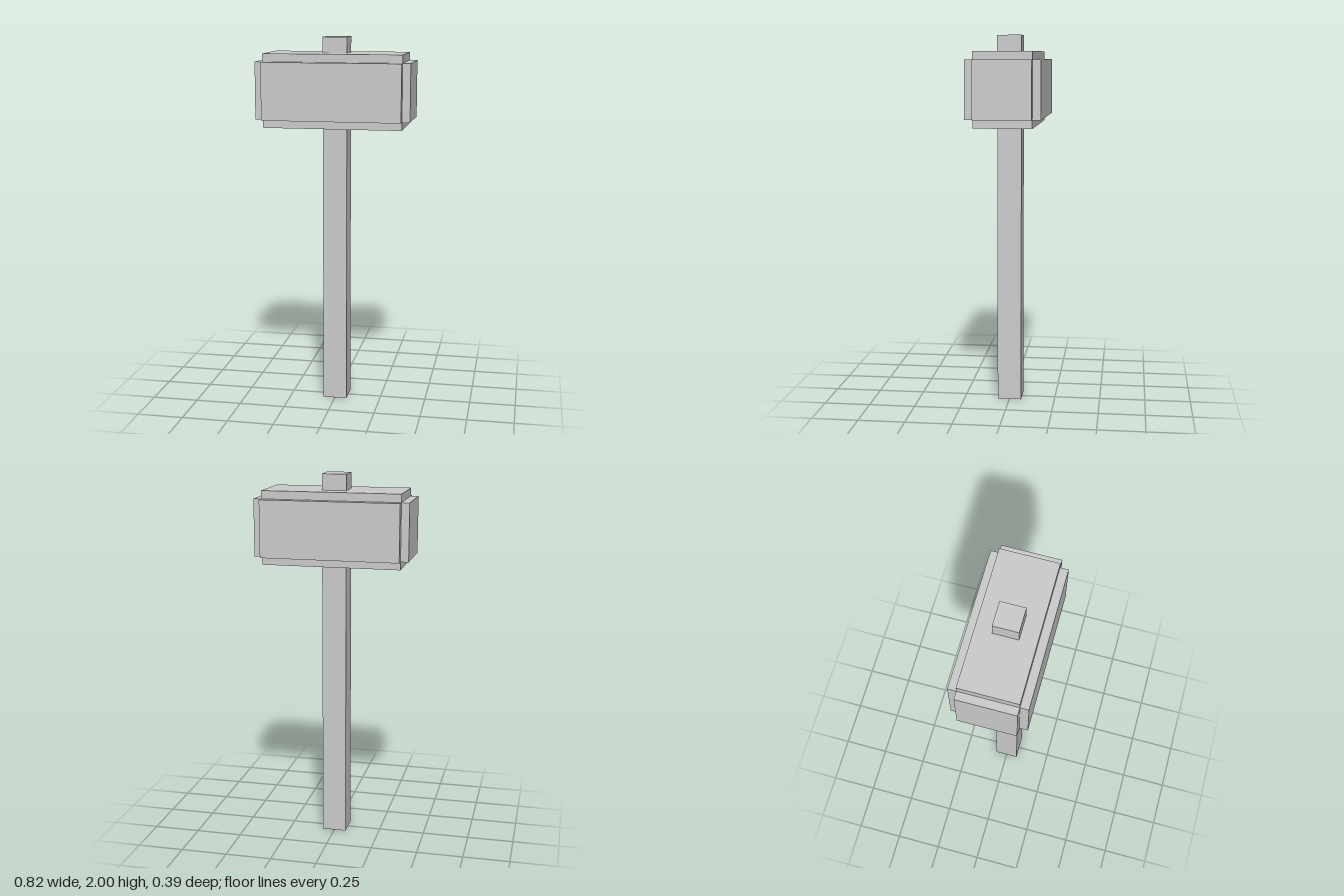
import * as THREE from 'three';

export function createModel() {
  const model = new THREE.Group();
  const material = new THREE.MeshStandardMaterial({ color: 0xcccccc, flatShading: true });

  const addBox = (name, width, height, depth, y) => {
    const mesh = new THREE.Mesh(new THREE.BoxGeometry(width, height, depth), material);
    mesh.name = name;
    mesh.position.y = y;
    model.add(mesh);
  };

  // Square shaft running right through the head
  addBox('handle', 0.13, 2, 0.13, 1);

  // Mallet head: three crossed blocks, each standing proud along one axis
  const headY = 1.72;
  addBox('headTopAndBottom', 0.74, 0.39, 0.304, headY);
  addBox('headFrontAndBack', 0.74, 0.304, 0.39, headY);
  addBox('headStrikingEnds', 0.824, 0.304, 0.304, headY);

  return model;
}
